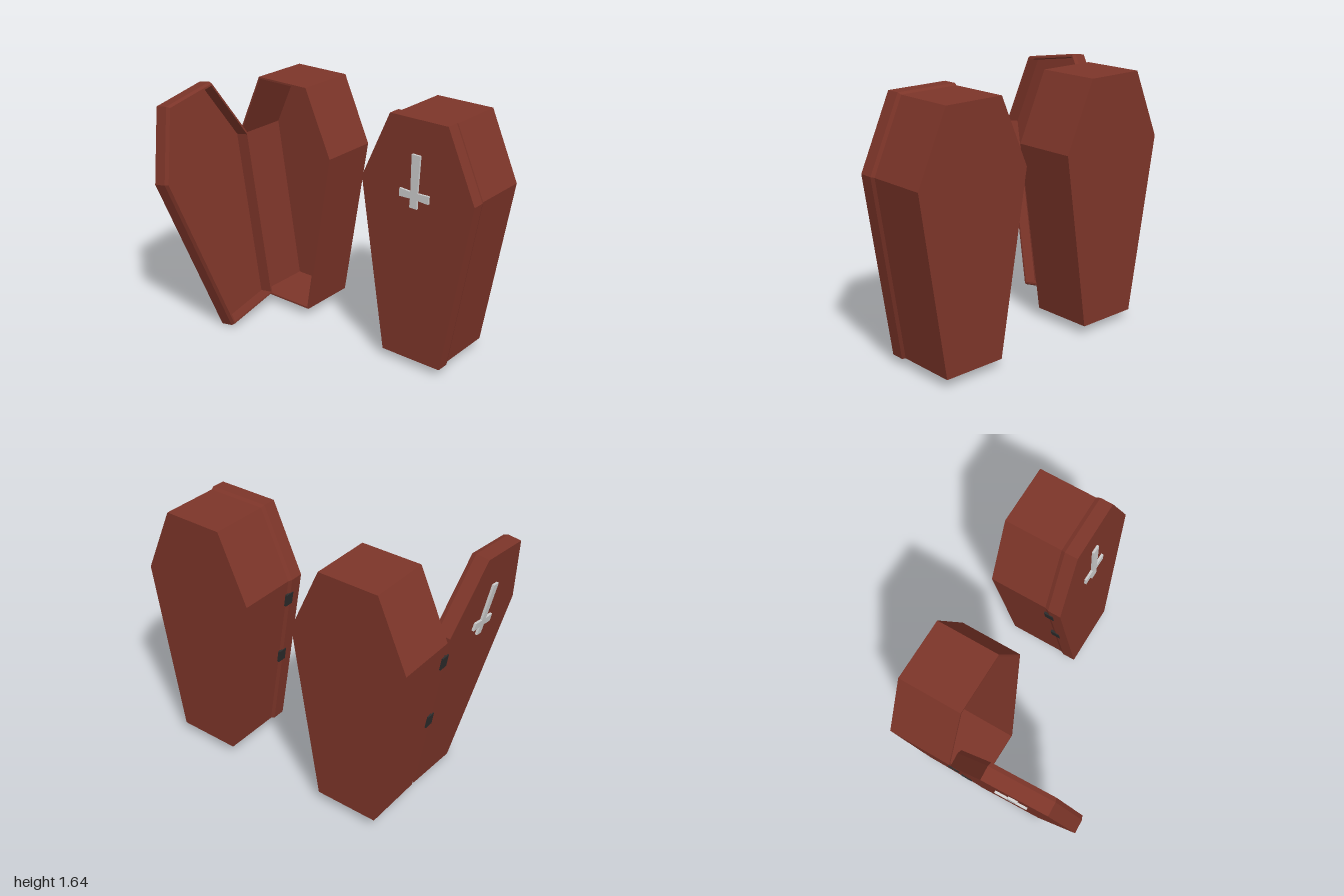
import * as THREE from 'three';

const wood = new THREE.MeshStandardMaterial({ color: 0x7d3529, flatShading: true });
const metal = new THREE.MeshStandardMaterial({ color: 0xcccccc });
const iron = new THREE.MeshStandardMaterial({ color: 0x2c2c2c });

// Six-sided outline of the lid, counter-clockwise
const OUTLINE = [[-0.217, 0.05], [0.217, 0.05], [0.405, 1.2], [0.205, 1.645], [-0.205, 1.645], [-0.405, 1.2]]
  .map(([x, y]) => new THREE.Vector2(x, y));
const EDGE_SLOPE = 0.188 / 1.15; // lower side edges

// Outline moved inwards by a constant distance
function insetOutline(d) {
  const n = OUTLINE.length;
  const inward = (a, b) => new THREE.Vector2(a.y - b.y, b.x - a.x).normalize();
  return OUTLINE.map((p, i) => {
    const n1 = inward(OUTLINE[(i + n - 1) % n], p);
    const n2 = inward(p, OUTLINE[(i + 1) % n]);
    const m = n1.clone().add(n2);
    return p.clone().addScaledVector(m, d / (1 + n1.dot(n2)));
  });
}

// Closed shell through rings of [inset, z], capped at both ends
function shell(name, rings) {
  const flip = rings[1][1] < rings[0][1];
  const loops = rings.map(([d, z]) => insetOutline(d).map(p => [p.x, p.y, z]));
  const pos = [];
  const tri = (a, b, c) => pos.push(...a, ...(flip ? c : b), ...(flip ? b : c));
  const n = OUTLINE.length;
  for (let k = 0; k + 1 < loops.length; k++) {
    for (let i = 0; i < n; i++) {
      const j = (i + 1) % n, lo = loops[k], hi = loops[k + 1];
      tri(lo[i], lo[j], hi[j]);
      tri(lo[i], hi[j], hi[i]);
    }
  }
  const first = loops[0], last = loops[loops.length - 1];
  for (let i = 1; i + 1 < n; i++) {
    tri(first[0], first[i + 1], first[i]);
    tri(last[0], last[i], last[i + 1]);
  }
  const geo = new THREE.BufferGeometry();
  geo.setAttribute('position', new THREE.Float32BufferAttribute(pos, 3));
  geo.computeVertexNormals();
  const mesh = new THREE.Mesh(geo, wood);
  mesh.name = name;
  return mesh;
}

// Hollow box, open to the front
const makeBody = () => shell('coffinBody', [[0.01, -0.61], [0.01, -0.205], [0.022, -0.205], [0.022, -0.59]]);

// Inverted cross with slightly flared ends
function makeCross() {
  const pts = [
    [-0.027, -0.08], [0.027, -0.08], [0.025, -0.022], [0.105, -0.026], [0.105, 0.026], [0.025, 0.022],
    [0.03, 0.26], [-0.03, 0.26], [-0.025, 0.022], [-0.105, 0.026], [-0.105, -0.026], [-0.025, -0.022],
  ];
  const shape = new THREE.Shape(pts.map(p => new THREE.Vector2(...p)));
  const cross = new THREE.Mesh(new THREE.ExtrudeGeometry(shape, { depth: 0.017, bevelEnabled: false }), metal);
  cross.name = 'cross';
  cross.position.set(-0.008, 1.17, -0.122);
  cross.rotation.z = -0.025;
  return cross;
}

// Hollow lid with a chamfered lip, plus its cross
function makeLid() {
  const lid = new THREE.Group();
  lid.name = 'lid';
  lid.add(shell('lidPanel', [[0, -0.12], [0, -0.205], [0.01, -0.23], [0.022, -0.23], [0.022, -0.14]]));
  lid.add(makeCross());
  return lid;
}

// Two hinge plates on the lower right-hand edge
function makeHinges(z, inset) {
  const hinges = new THREE.Group();
  hinges.name = 'hinges';
  for (const y of [1.06, 0.61]) {
    const plate = new THREE.Mesh(new THREE.BoxGeometry(0.014, 0.085, 0.06), iron);
    plate.name = 'hinge';
    plate.position.set(-0.405 + inset + (1.2 - y) * EDGE_SLOPE, y, z);
    plate.rotation.z = Math.atan(EDGE_SLOPE);
    hinges.add(plate);
  }
  return hinges;
}

// Swing the lid open about the lower side edge
function openLid() {
  const lid = makeLid();
  const pivot = new THREE.Group();
  pivot.name = 'openLid';
  lid.position.set(0.405, -1.2, 0.12);
  pivot.add(lid);
  pivot.position.set(-0.4, 1.217, -0.19);
  const axis = new THREE.Vector3(EDGE_SLOPE, -1, 0).normalize();
  pivot.quaternion.setFromAxisAngle(axis, THREE.MathUtils.degToRad(88));
  return pivot;
}

export function createModel() {
  const model = new THREE.Group();
  model.name = 'coffinPair';

  const opened = new THREE.Group();
  opened.name = 'openCoffin';
  opened.add(makeBody(), openLid(), makeHinges(-0.2, 0.008));
  opened.position.x = -0.53;

  const closed = new THREE.Group();
  closed.name = 'closedCoffin';
  closed.add(makeBody(), makeLid(), makeHinges(-0.213, 0.002));
  closed.position.x = 0.595;

  model.add(opened, closed);
  return model;
}
